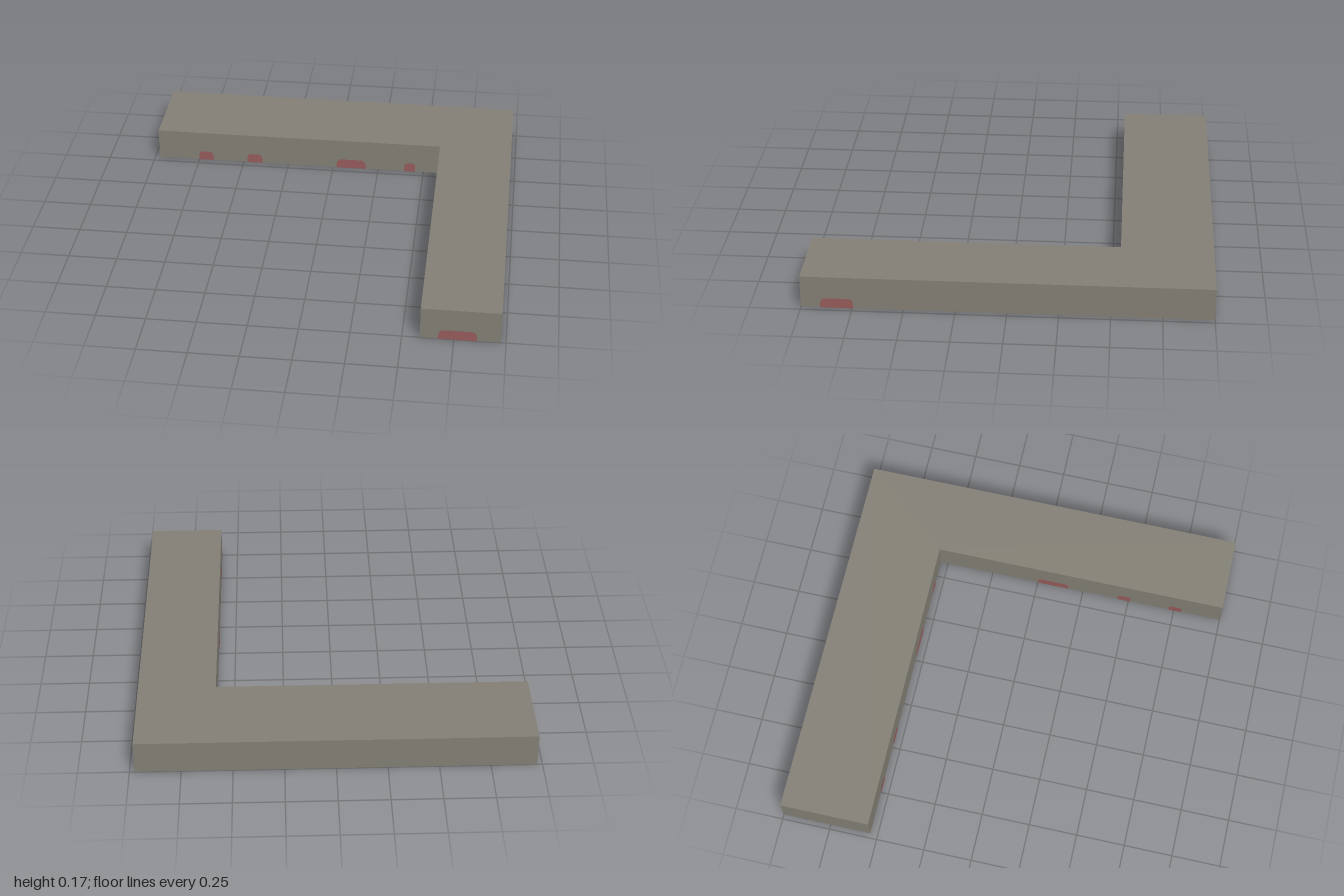
import * as THREE from 'three';

const H = 0.168;           // block height
const X = 0.975, Z = 1;    // half extents
const IX = 0.587, IZ = -0.54; // inner corner

const wallMat = new THREE.MeshStandardMaterial({ color: 0x827e74 });
wallMat.name = 'warmGrey';
const doorMat = new THREE.MeshStandardMaterial({ color: 0x955b5a });
doorMat.name = 'dullRed';

// Flat archway with softened top corners, standing on y = 0
function archGeometry(width, height = 0.052) {
  const w = width / 2, c = Math.min(0.025, width * 0.28);
  const s = new THREE.Shape();
  s.moveTo(-w, 0);
  s.lineTo(w, 0);
  s.lineTo(w, height - c);
  s.quadraticCurveTo(w - c * 0.2, height, w - c, height);
  s.lineTo(-w + c, height);
  s.quadraticCurveTo(-w + c * 0.2, height, -w, height - c);
  s.closePath();
  return new THREE.ShapeGeometry(s, 4);
}

export function createModel() {
  const model = new THREE.Group();
  model.name = 'cornerBuilding';

  // L-shaped block, drawn in plan and extruded upwards
  const plan = new THREE.Shape([
    [-X, Z], [X, Z], [X, -Z], [IX, -Z], [IX, -IZ], [-X, -IZ],
  ].map(([x, y]) => new THREE.Vector2(x, y)));
  const blockGeo = new THREE.ExtrudeGeometry(plan, { depth: H, bevelEnabled: false });
  blockGeo.rotateX(-Math.PI / 2);
  const block = new THREE.Mesh(blockGeo, wallMat);
  block.name = 'walls';
  model.add(block);

  // Archways: from and to along the wall, the wall's position, facing
  const lift = 0.002;
  const addArch = (name, from, to, wall, facing) => {
    const arch = new THREE.Mesh(archGeometry(to - from), doorMat);
    const mid = (from + to) / 2;
    arch.name = name;
    if (facing === 'front') {
      arch.position.set(mid, 0, wall + lift);
    } else {
      const side = facing === 'left' ? 1 : -1;
      arch.position.set(wall + side * lift, 0, mid);
      arch.rotation.y = side * Math.PI / 2;
    }
    model.add(arch);
  };

  // Courtyard face of the rear wing
  [[-0.75, -0.67], [-0.48, -0.395], [0.02, 0.18], [0.395, 0.455]]
    .forEach(([a, b]) => addArch('rearWingArch', a, b, IZ, 'front'));
  // Courtyard face of the side wing
  [[0.0, 0.17], [0.44, 0.51], [0.72, 0.79]]
    .forEach(([a, b]) => addArch('sideWingArch', a, b, IX, 'right'));
  // End and outer face of the side wing
  addArch('endArch', 0.675, 0.86, Z, 'front');
  addArch('outerArch', 0.745, 0.905, X, 'left');

  return model;
}
